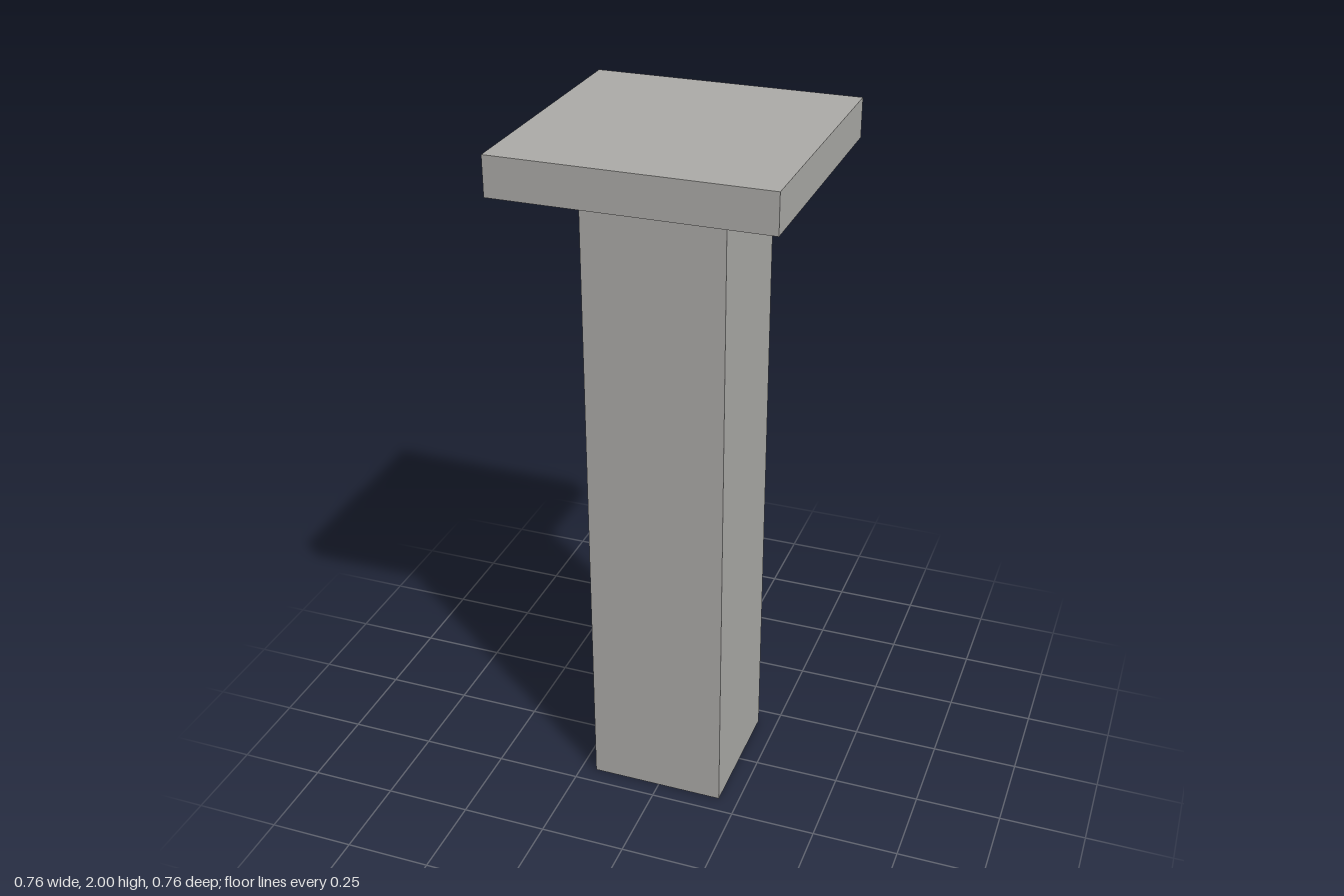
import * as THREE from 'three';

const stone = new THREE.MeshStandardMaterial({ name: 'stone grey', color: 0xabaaa7 });
const dark = new THREE.MeshStandardMaterial({ name: 'dark grey', color: 0x605f5d });

function addBox(group, name, size, x, bottom) {
  const mesh = new THREE.Mesh(new THREE.BoxGeometry(...size), stone);
  mesh.name = name;
  mesh.position.set(x, bottom + size[1] / 2, 0);
  group.add(mesh);
}

export function createModel() {
  const group = new THREE.Group();
  group.name = 'pillar';
  const capWidth = 0.756, capBottom = 1.89, postX = -0.006;

  // Square post, slightly off centre under a wide flat cap
  addBox(group, 'post', [0.396, capBottom, 0.396], postX, 0);
  addBox(group, 'cap', [capWidth, 2 - capBottom, capWidth], 0, capBottom);

  // Dark border painted round the underside of the cap
  const h = capWidth / 2, r = 0.333, c = r - 0.03;
  const border = new THREE.Shape([[-h, -h], [h, -h], [h, h], [-h, h]].map(p => new THREE.Vector2(...p)));
  const inner = [[-r, -c], [-r, c], [-c, r], [c, r], [r, c], [r, -c], [c, -r], [-c, -r]];
  border.holes.push(new THREE.Path(inner.map(([x, y]) => new THREE.Vector2(x + postX, y))));
  const underside = new THREE.Mesh(new THREE.ShapeGeometry(border), dark);
  underside.name = 'capUndersideBorder';
  underside.rotation.x = Math.PI / 2;
  underside.position.y = capBottom - 0.002;
  group.add(underside);

  return group;
}
